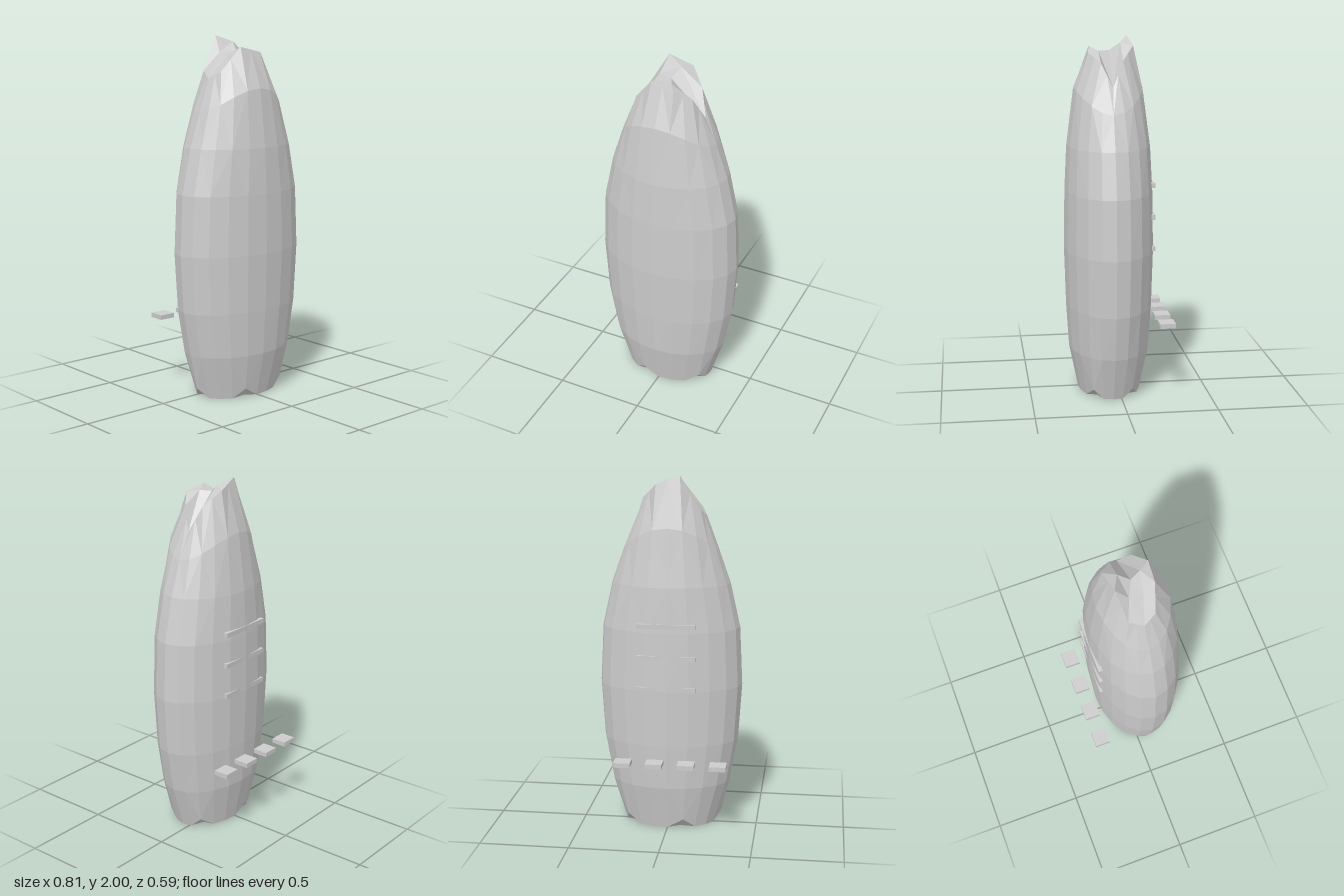
import * as THREE from 'three';

const SIDES = 20;
const CZ = 0.045; // the body sits slightly forward of the origin
const grey = new THREE.MeshStandardMaterial({ color: 0xcccccc, flatShading: true });

// Ring of points on an ellipse; fn(i) returns [halfWidth, y, halfDepth]
function ring(fn) {
  return Array.from({ length: SIDES }, (_, i) => {
    const a = (i / SIDES) * Math.PI * 2;
    const [rx, y, rz] = fn(i, a);
    return [rx * Math.cos(a), y, CZ + rz * Math.sin(a)];
  });
}

function buildBody() {
  const pos = [];
  const tri = (a, b, c) => pos.push(...a, ...b, ...c);
  const isNotch = (i) => i % 4 === 2;

  // Underside: flat, with five small scallops cut into its edge
  const inner = ring((i) => (isNotch(i) ? [0.215, 0, 0.14] : [0.262, 0, 0.175]));
  const base = ring((i) => (isNotch(i) ? [0.292, 0.052, 0.188] : [0.262, 0, 0.175]));

  // Swelling sides: [halfWidth, y, halfDepth, extra height at front and back]
  const levels = [
    [0.34, 0.25, 0.226, 0], [0.385, 0.5, 0.241, 0], [0.405, 0.82, 0.25, 0],
    [0.389, 1.15, 0.245, 0], [0.333, 1.4, 0.233, 0], [0.266, 1.59, 0.192, 0.13],
  ].map(([rx, y, rz, lift]) => ring((i, a) => [rx, y + lift * Math.sin(a) ** 2, rz]));

  // Rim of the split tip, and the crease points inside it
  const P = [
    [0.2, 1.73, 0.04], [0.15, 1.86, 0.1], [0.07, 1.91, 0.16], [-0.06, 1.94, 0.145],
    [-0.17, 1.81, 0.11], [-0.2, 1.77, 0.04], [-0.17, 1.81, -0.035], [-0.06, 2, -0.065],
    [0.07, 1.95, -0.085], [0.15, 1.87, -0.02],
  ];
  const A = [0.03, 1.92, 0.1], B = [-0.085, 1.9, 0.075], C = [-0.085, 1.91, 0];
  const D = [0.03, 1.965, -0.02], E = [0, 1.92, 0.04];
  const rim = P.flatMap((p, i) => {
    const q = P[(i + 1) % P.length];
    return [p, p.map((v, k) => (v + q[k]) / 2)];
  });

  // Sides, with the diagonals alternating
  const rings = [base, ...levels, rim];
  for (let r = 0; r < rings.length - 1; r++) {
    for (let i = 0; i < SIDES; i++) {
      const j = (i + 1) % SIDES;
      const [a, b, c, d] = [rings[r][i], rings[r][j], rings[r + 1][i], rings[r + 1][j]];
      if ((i + r) % 2) { tri(a, c, b); tri(b, c, d); } else { tri(a, c, d); tri(a, d, b); }
    }
  }

  // Underside faces
  for (let i = 0; i < SIDES; i++) {
    const j = (i + 1) % SIDES;
    if (isNotch(i)) tri(base[i], base[j], inner[i]);
    if (isNotch(j)) tri(base[i], base[j], inner[j]);
    tri([0, 0, CZ], inner[i], inner[j]);
  }

  // Folded tip
  const tip = [
    [E, P[0], A], [P[0], P[1], A], [P[1], P[2], A], [P[2], P[3], A], [P[3], B, A],
    [P[3], P[4], B], [P[4], P[5], B], [P[5], C, B], [P[5], P[6], C], [P[6], P[7], C],
    [P[7], D, C], [P[7], P[8], D], [P[8], P[9], D], [P[9], P[0], D], [P[0], E, D],
    [E, A, B], [E, B, C], [E, C, D],
  ];
  tip.forEach(([a, b, c]) => tri(a, c, b));

  const geo = new THREE.BufferGeometry();
  geo.setAttribute('position', new THREE.Float32BufferAttribute(pos, 3));
  geo.computeVertexNormals();
  const mesh = new THREE.Mesh(geo, grey);
  mesh.name = 'body';
  return mesh;
}

function box(name, w, h, d, x, y, z) {
  const mesh = new THREE.Mesh(new THREE.BoxGeometry(w, h, d), grey);
  mesh.name = name;
  mesh.position.set(x, y, z);
  return mesh;
}

export function createModel() {
  const model = new THREE.Group();
  model.name = 'model';
  model.add(buildBody());

  // Three thin bars across the back
  [0.832, 1.01, 1.188].forEach((y, i) =>
    model.add(box(`backBar${i + 1}`, 0.325, 0.026, 0.022, 0, y, -0.189)));

  // Row of four small blocks floating behind the body
  for (let i = 0; i < 4; i++) {
    model.add(box(`rearBlock${i + 1}`, 0.094, 0.026, 0.088, -0.297 + i * 0.178, 0.418, -0.255));
  }
  return model;
}
